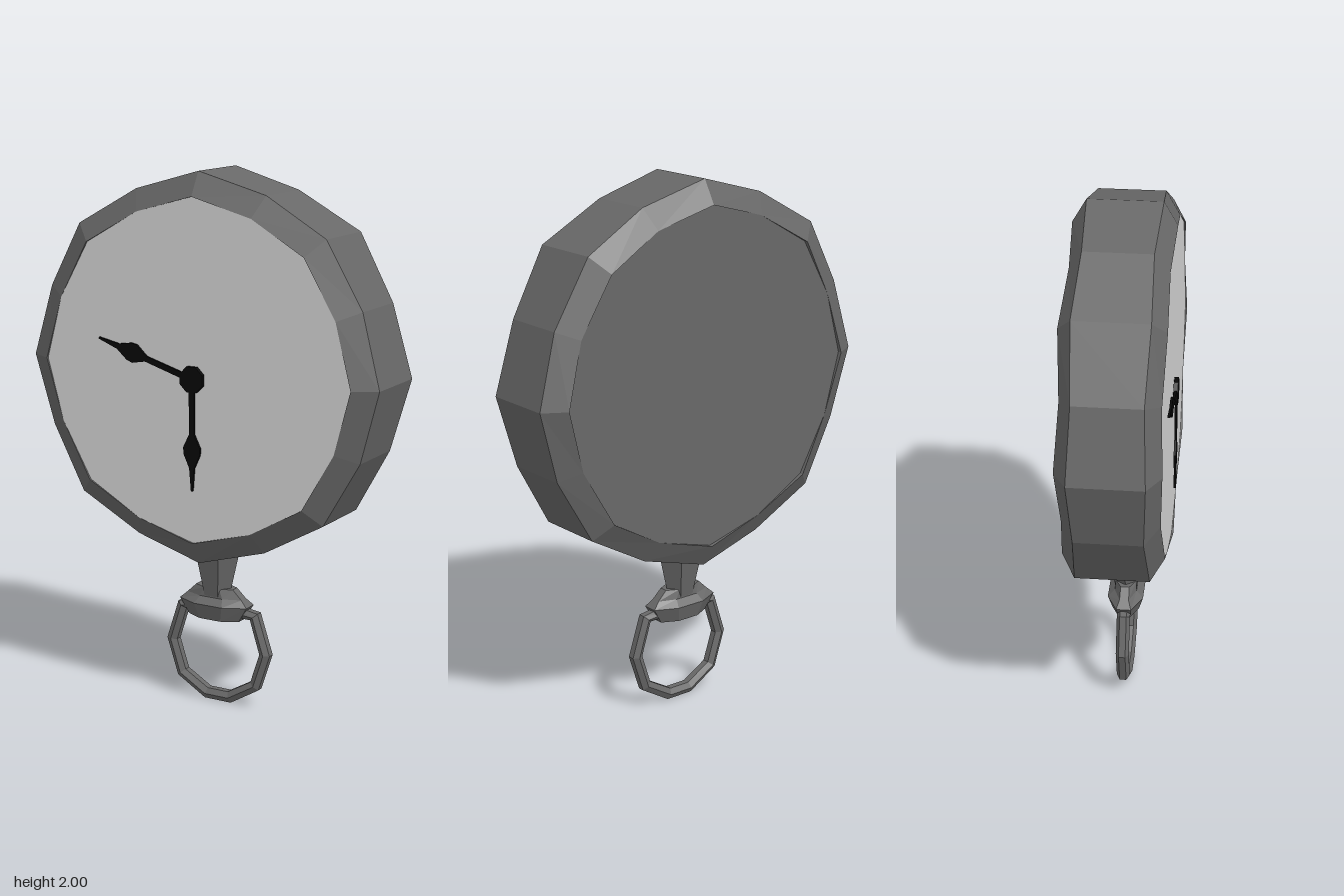
import * as THREE from 'three';

const mat = (name, color) => {
  const m = new THREE.MeshStandardMaterial({ color });
  m.name = name;
  return m;
};

// Split shared corners so every facet is flat
const faceted = (geometry) => {
  const g = geometry.index ? geometry.toNonIndexed() : geometry;
  g.computeVertexNormals();
  return g;
};

// Surface through a stack of closed rings (arrays of [x, y, z])
function loft(rings) {
  const pos = [];
  const n = rings[0].length;
  for (let j = 0; j < rings.length - 1; j++) {
    for (let i = 0; i < n; i++) {
      const k = (i + 1) % n;
      const a = rings[j][i], b = rings[j][k], c = rings[j + 1][k], d = rings[j + 1][i];
      pos.push(...a, ...b, ...c, ...a, ...c, ...d);
    }
  }
  const g = new THREE.BufferGeometry();
  g.setAttribute('position', new THREE.Float32BufferAttribute(pos, 3));
  return faceted(g);
}

// Path with straight stretches between its points
class Polyline extends THREE.Curve {
  constructor(points) {
    super();
    this.points = points.map(([x, y]) => new THREE.Vector3(x, y, 0));
  }
  getPoint(t, target = new THREE.Vector3()) {
    const last = this.points.length - 1;
    const s = THREE.MathUtils.clamp(t, 0, 1) * last;
    const i = Math.min(Math.floor(s + 1e-6), last - 1);
    return target.lerpVectors(this.points[i], this.points[i + 1], s - i);
  }
  getPointAt(t, target) {
    return this.getPoint(t, target);
  }
  getTangentAt(t, target = new THREE.Vector3()) {
    const d = 0.5 / (this.points.length - 1);
    return target.copy(this.getPoint(t + d)).sub(this.getPoint(t - d)).normalize();
  }
}

export function createModel() {
  const group = new THREE.Group();
  const metal = mat('dark grey metal', 0x686868);
  const dial = mat('pale grey dial', 0xd6d6d6);
  const black = mat('black hands', 0x080808);
  const add = (name, geometry, material, parent = group) => {
    const mesh = new THREE.Mesh(geometry, material);
    mesh.name = name;
    parent.add(mesh);
    return mesh;
  };

  // Case: sixteen sides, every second corner slightly lower and shallower
  const SIDES = 16, CY = 1.29;
  const ring = (rEven, rOdd, zEven, zOdd) => Array.from({ length: SIDES }, (_, i) => {
    const a = (i / SIDES) * Math.PI * 2;
    const r = i % 2 ? rOdd : rEven;
    return [r * Math.cos(a), CY + r * Math.sin(a), i % 2 ? zOdd : zEven];
  });
  add('case', loft([
    ring(0.628, 0.61, -0.172, -0.172),
    ring(0.628, 0.61, -0.188, -0.173),
    ring(0.714, 0.693, -0.138, -0.126),
    ring(0.714, 0.693, 0.127, 0.116),
    ring(0.628, 0.61, 0.176, 0.168),
    ring(0.628, 0.61, 0.167, 0.167),
  ]), metal);

  // Flat dial and back cover
  const disc = new THREE.ShapeGeometry(new THREE.Shape(
    ring(0.628, 0.61, 0, 0).map(([x, y]) => new THREE.Vector2(x, y))));
  add('dial', disc, dial).position.z = 0.168;
  const back = add('backCover', disc, metal);
  back.rotation.y = Math.PI;
  back.position.z = -0.173;

  // Hands: thin shaft with a diamond and a pointed tip
  const half = [[0, 0.011], [0.2, 0.01], [0.25, 0.035], [0.275, 0.033], [0.325, 0.01], [0.41, 0.003]];
  const outline = [...half.map(([x, y]) => [x, -y]), ...half.slice().reverse()];
  const handGeo = new THREE.ExtrudeGeometry(
    new THREE.Shape(outline.map(([x, y]) => new THREE.Vector2(x, y))),
    { depth: 0.009, bevelEnabled: false });
  const hands = new THREE.Group();
  hands.name = 'hands';
  hands.position.set(0.002, 1.27, 0.174);
  group.add(hands);
  add('minuteHand', handGeo, black, hands).rotation.z = -Math.PI / 2;
  add('hourHand', handGeo, black, hands).rotation.z = Math.atan2(0.115, -0.385);
  const hub = add('handHub', faceted(new THREE.CylinderGeometry(0.05, 0.05, 0.016, 8)), black, hands);
  hub.rotation.set(Math.PI / 2, Math.PI / 8, 0);
  hub.position.z = 0.004;

  // Tapered six-sided stem under the case
  const stemGeo = new THREE.CylinderGeometry(0.105, 0.055, 0.21, 6);
  stemGeo.rotateY(Math.PI / 6);
  stemGeo.rotateY(Math.PI / 3 - Math.PI / 6 - Math.PI / 6 + Math.PI / 6 + Math.PI / 6);
  stemGeo.rotateY(Math.PI / 6 - Math.PI / 6);
  stemGeo.scale(1, 1, 0.85);
  add('stem', faceted(stemGeo), metal).position.y = 0.525;

  // Flattened crown that holds the ring
  const crownRing = (rx, rz, y) => Array.from({ length: 8 }, (_, i) => {
    const a = -((i + 0.5) / 8) * Math.PI * 2;
    return [rx * Math.cos(a), y, rz * Math.sin(a)];
  });
  add('crown', loft([
    crownRing(0, 0, 0.335), crownRing(0.115, 0.055, 0.335), crownRing(0.155, 0.073, 0.395),
    crownRing(0.125, 0.045, 0.42), crownRing(0.085, 0.042, 0.455), crownRing(0, 0, 0.455),
  ]), metal);

  // Hanging ring whose ends enter the crown
  const path = new Polyline([
    [0.08, 0.37], [0.166, 0.362], [0.212, 0.22], [0.17, 0.092], [0.062, 0.028],
    [-0.038, 0.028], [-0.146, 0.092], [-0.188, 0.22], [-0.142, 0.362], [-0.08, 0.37],
  ]);
  add('hangingRing', faceted(new THREE.TubeGeometry(path, 9, 0.025, 6, false)), metal);

  return group;
}
